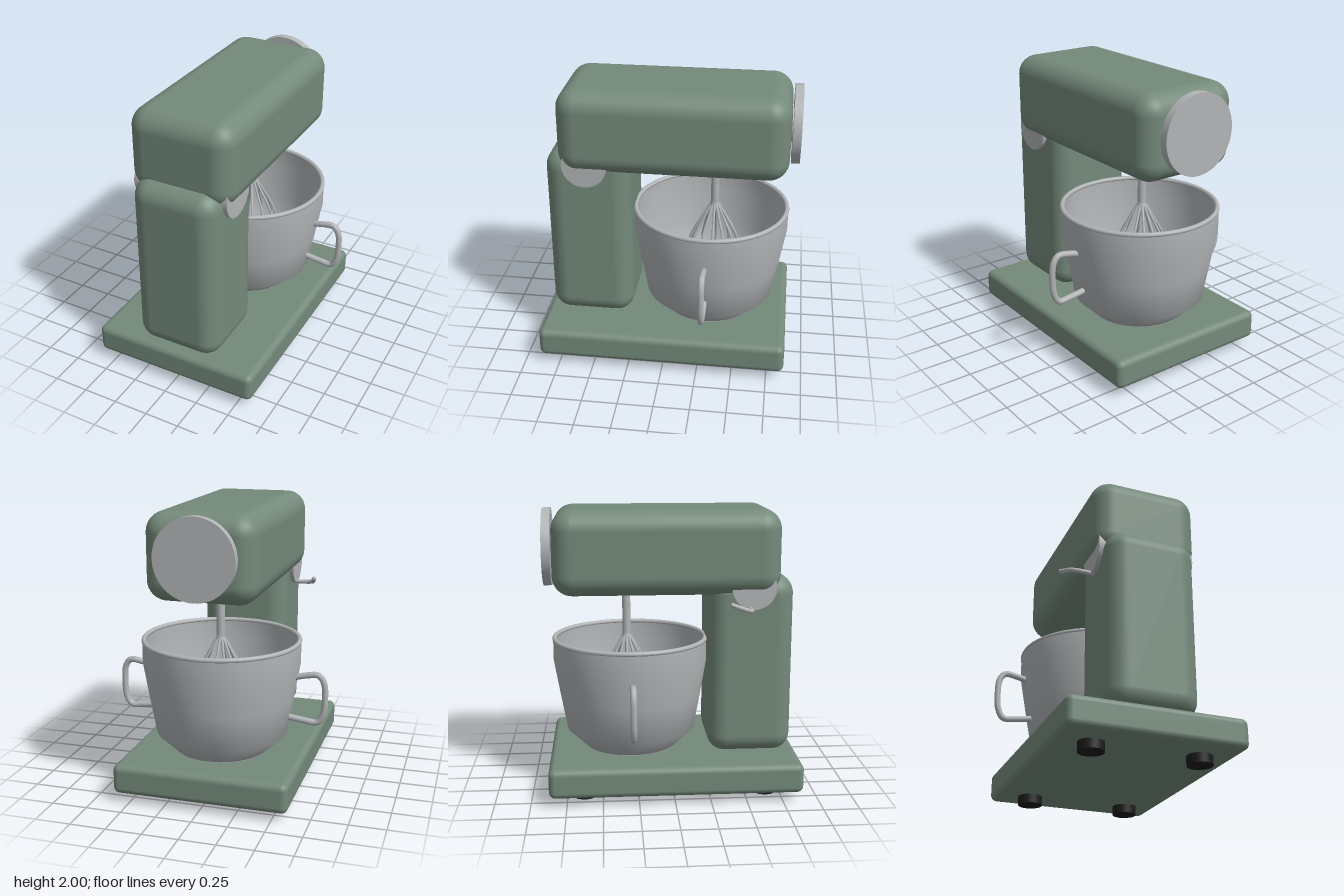
import * as THREE from 'three';
import { RoundedBoxGeometry } from 'three/addons/geometries/RoundedBoxGeometry.js';
import { toCreasedNormals } from 'three/addons/utils/BufferGeometryUtils.js';

export function createModel() {
  const model = new THREE.Group();
  model.name = 'standMixer';

  const material = (name, color) => {
    const m = new THREE.MeshStandardMaterial({ color });
    m.name = name;
    return m;
  };
  const green = material('sage enamel', 0x748a7b);
  const steel = material('brushed steel', 0xb2b4b6);
  const rubber = material('black rubber', 0x1c1c1c);

  const add = (name, geometry, mat, x = 0, y = 0, z = 0, parent = model) => {
    const mesh = new THREE.Mesh(geometry, mat);
    mesh.name = name;
    mesh.position.set(x, y, z);
    parent.add(mesh);
    return mesh;
  };
  // Rounded box given by its extents on y and z, centred on x
  const block = (name, halfX, y0, y1, z0, z1, radius) =>
    add(name, new RoundedBoxGeometry(halfX * 2, y1 - y0, z1 - z0, 6, radius),
      green, 0, (y0 + y1) / 2, (z0 + z1) / 2);
  const curve = (points) =>
    new THREE.CatmullRomCurve3(points.map((p) => new THREE.Vector3(...p)));

  // Body
  block('base', 0.612, 0.063, 0.272, -0.872, 0.892, 0.045);
  block('column', 0.315, 0.255, 1.54, 0.253, 0.853, 0.13);
  block('head', 0.38, 1.41, 2.0, -0.828, 0.752, 0.14);

  // Feet
  for (const x of [-0.37, 0.37]) {
    for (const z of [-0.628, 0.648]) {
      add('foot', new THREE.CylinderGeometry(0.087, 0.087, 0.1, 28), rubber, x, 0.05, z);
    }
  }

  // Tilt hinge through the top of the column
  add('hinge', new THREE.CylinderGeometry(0.155, 0.155, 0.69, 48).rotateZ(Math.PI / 2),
    steel, 0, 1.47, 0.56);

  // Hub disc at the end of the head
  add('hubDisc', new THREE.CylinderGeometry(0.273, 0.273, 0.058, 56).rotateX(Math.PI / 2),
    steel, 0, 1.722, -0.866);
  add('hubBoss', new THREE.CylinderGeometry(0.12, 0.12, 0.06, 32).rotateX(Math.PI / 2),
    steel, 0, 1.722, -0.82);

  // Locking lever
  const lever = curve([[-0.3, 1.325, 0.53], [-0.43, 1.325, 0.53],
    [-0.475, 1.335, 0.505], [-0.493, 1.355, 0.45], [-0.508, 1.382, 0.385]]);
  add('lockLever', new THREE.TubeGeometry(lever, 28, 0.016, 10), steel);
  add('leverTip', new THREE.SphereGeometry(0.016, 10, 8), steel, -0.508, 1.382, 0.385);

  // Bowl: outer wall up, over the lip, and down the inside
  const bowl = new THREE.Group();
  bowl.name = 'bowl';
  bowl.position.z = -0.29;
  model.add(bowl);
  const profile = [[0, 0.265], [0.325, 0.265], [0.465, 0.4], [0.51, 0.65], [0.554, 0.91],
    [0.554, 1.06], [0.53, 1.06], [0.53, 0.91], [0.487, 0.65], [0.444, 0.41],
    [0.31, 0.29], [0, 0.29]].map((p) => new THREE.Vector2(...p));
  add('bowlWall', toCreasedNormals(new THREE.LatheGeometry(profile, 72), 0.9), steel, 0, 0, 0, bowl);
  add('bowlRim', new THREE.TorusGeometry(0.543, 0.017, 10, 72).rotateX(Math.PI / 2),
    steel, 0, 1.063, 0, bowl);
  add('bowlFoot', new THREE.CylinderGeometry(0.335, 0.335, 0.02, 56), steel, 0, 0.277, 0, bowl);

  // Bowl handles
  for (const s of [-1, 1]) {
    const path = curve([[0.53, 0.828], [0.61, 0.847], [0.69, 0.853], [0.728, 0.805],
      [0.739, 0.69], [0.728, 0.575], [0.69, 0.514], [0.6, 0.518], [0.48, 0.535]]
      .map(([x, y]) => [s * x, y, 0]));
    add('bowlHandle', new THREE.TubeGeometry(path, 48, 0.022, 12), steel, 0, 0, 0, bowl);
  }

  // Whisk: shaft, ferrule and a balloon of crossing wire loops
  const whisk = new THREE.Group();
  whisk.name = 'whisk';
  whisk.position.z = -0.315;
  model.add(whisk);
  add('whiskShaft', new THREE.CylinderGeometry(0.029, 0.029, 0.42, 20), steel, 0, 1.27, 0, whisk);
  add('whiskFerrule', new THREE.CylinderGeometry(0.03, 0.042, 0.05, 20), steel, 0, 1.065, 0, whisk);
  const side = [[0.03, 1.07], [0.085, 0.97], [0.155, 0.84], [0.2, 0.7], [0.185, 0.57], [0.11, 0.47]];
  const loop = [...side, [0, 0.435], ...side.map(([r, y]) => [-r, y]).reverse()];
  const loops = 6;
  for (let i = 0; i < loops; i++) {
    const a = (i / loops) * Math.PI;
    const path = curve(loop.map(([r, y]) => [r * Math.cos(a), y, r * Math.sin(a)]));
    add('whiskWire', new THREE.TubeGeometry(path, 56, 0.009, 8), steel, 0, 0, 0, whisk);
  }

  return model;
}
